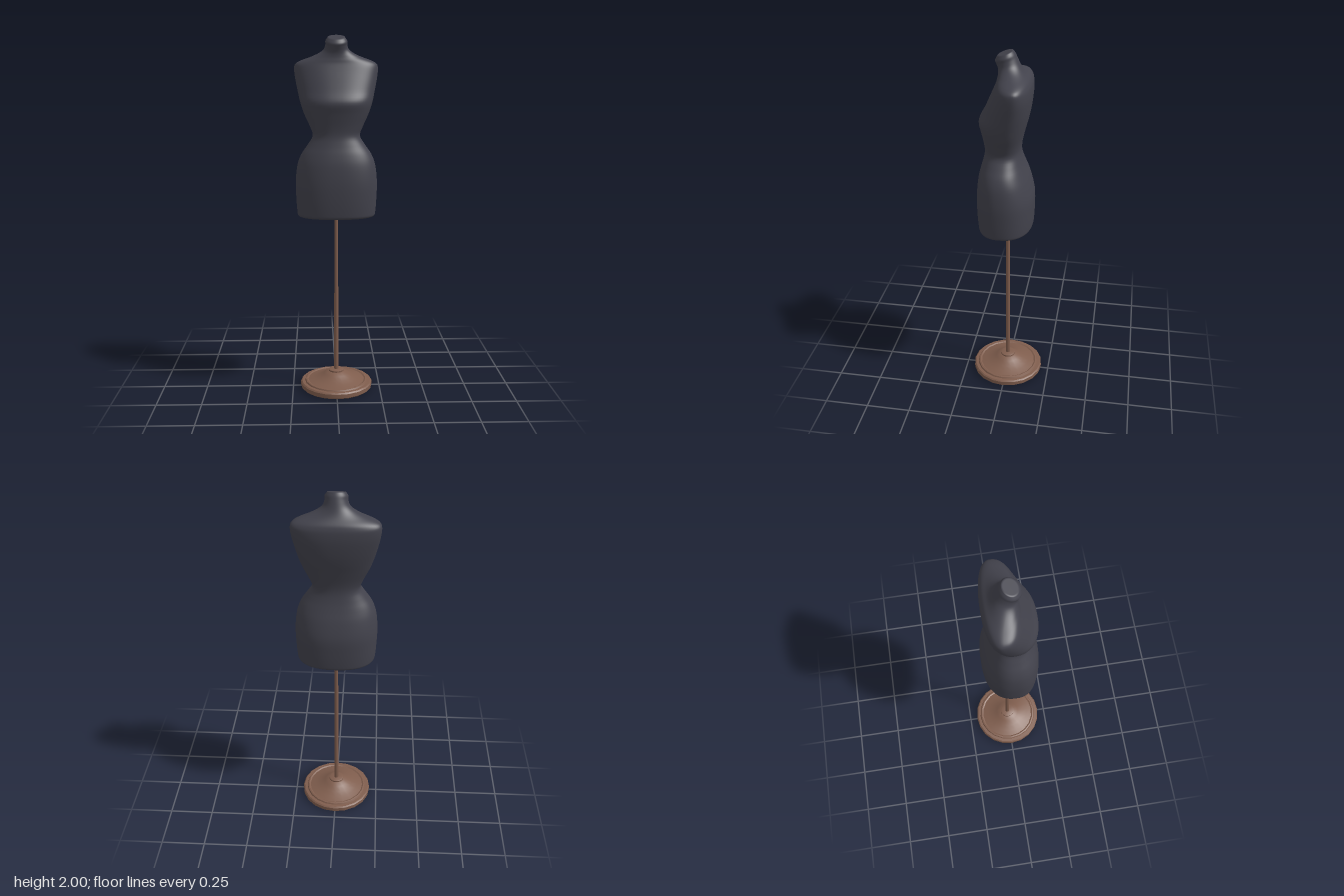
import * as THREE from 'three';
import { toCreasedNormals } from 'three/addons/utils/BufferGeometryUtils.js';

const fabric = new THREE.MeshStandardMaterial({ name: 'charcoal fabric', color: 0x42424c });
const wood = new THREE.MeshStandardMaterial({ name: 'brown wood', color: 0x7f5d4d });
const felt = new THREE.MeshStandardMaterial({ name: 'grey underside', color: 0xa3a3a0 });

// Torso sections: height, half width, front z, back z, z of the widest point
const SECTIONS = [
  [1.012, 0.19, 0.135, -0.12, 0.02],
  [1.02, 0.211, 0.152, -0.138, 0.02],
  [1.045, 0.217, 0.157, -0.143, 0.02],
  [1.12, 0.222, 0.162, -0.146, 0.02],
  [1.21, 0.224, 0.163, -0.144, 0.02],
  [1.3, 0.214, 0.156, -0.122, 0.02],
  [1.36, 0.192, 0.144, -0.1, 0.02],
  [1.41, 0.158, 0.13, -0.083, 0.02],
  [1.46, 0.129, 0.12, -0.073, 0.02],
  [1.51, 0.144, 0.123, -0.076, 0.02],
  [1.58, 0.176, 0.136, -0.092, 0.01],
  [1.64, 0.196, 0.147, -0.108, 0],
  [1.7, 0.21, 0.118, -0.12, -0.02],
  [1.77, 0.224, 0.087, -0.128, -0.04],
  [1.82, 0.229, 0.065, -0.127, -0.048],
  [1.845, 0.222, 0.055, -0.121, -0.048],
  [1.862, 0.195, 0.051, -0.112, -0.045],
  [1.88, 0.145, 0.048, -0.094, -0.035],
  [1.9, 0.096, 0.048, -0.076, -0.018],
  [1.92, 0.068, 0.052, -0.062, -0.004],
  [1.945, 0.059, 0.06, -0.048, 0.007],
  [1.965, 0.059, 0.065, -0.038, 0.014],
  [1.985, 0.046, 0.053, -0.026, 0.014],
];

function torsoGeometry() {
  const around = 64, steps = 4;
  const stride = SECTIONS[0].length;
  const spline = new THREE.CubicInterpolant(
    SECTIONS.map((_, i) => i), SECTIONS.flat(), stride, new Float32Array(stride));
  const rings = [];
  for (let i = 0; i <= (SECTIONS.length - 1) * steps; i++) {
    rings.push([...spline.evaluate(i / steps)]);
  }
  // Close both ends with shrinking rings
  const shrink = ([y, w, front, back, mid], k) =>
    [y, w * k, mid + (front - mid) * k, mid + (back - mid) * k, mid];
  const first = rings[0], last = rings[rings.length - 1];
  rings.unshift(shrink(first, 0.001), shrink(first, 0.9));
  rings.push(shrink(last, 0.85), shrink(last, 0.001));

  const positions = [], indices = [];
  const power = (v, e) => Math.sign(v) * Math.abs(v) ** e;
  rings.forEach(([y, w, front, back, mid], r) => {
    // Squarish body sections turn round at the neck, which tilts forward
    const exponent = 2 / (2.35 - 0.35 * THREE.MathUtils.smoothstep(y, 1.82, 1.9));
    const tilt = 0.34 * THREE.MathUtils.smoothstep(y, 1.88, 1.97);
    for (let j = 0; j < around; j++) {
      const a = (j / around) * Math.PI * 2;
      const s = power(Math.sin(a), exponent);
      const z = mid + (s > 0 ? s * (front - mid) : -s * (back - mid));
      positions.push(w * power(Math.cos(a), exponent), y - tilt * (z - 0.014), z);
      if (r === rings.length - 1) continue;
      const p = r * around + j, q = r * around + ((j + 1) % around);
      indices.push(p, p + around, q, q, p + around, q + around);
    }
  });
  const geometry = new THREE.BufferGeometry();
  geometry.setAttribute('position', new THREE.Float32BufferAttribute(positions, 3));
  geometry.setIndex(indices);
  geometry.computeVertexNormals();
  return geometry;
}

export function createModel() {
  const model = new THREE.Group();
  model.name = 'dressForm';
  const add = (name, geometry, material) => {
    const mesh = new THREE.Mesh(geometry, material);
    mesh.name = name;
    model.add(mesh);
    return mesh;
  };

  add('torso', torsoGeometry(), fabric);

  // Slim pole
  add('pole', new THREE.CylinderGeometry(0.01, 0.013, 0.94, 12), wood).position.y = 0.56;

  // Turned base with a rim, a groove, a flared dome and a collar
  const profile = [
    [0.2, 0], [0.206, 0.006], [0.206, 0.028], [0.199, 0.035], [0.182, 0.036],
    [0.178, 0.043], [0.17, 0.045], [0.162, 0.041], [0.13, 0.05], [0.098, 0.062],
    [0.07, 0.077], [0.05, 0.09], [0.043, 0.092], [0.043, 0.1], [0.036, 0.103], [0, 0.103],
  ].map(([r, y]) => new THREE.Vector2(r, y));
  add('base', toCreasedNormals(new THREE.LatheGeometry(profile, 20), 0.7), wood);

  // Underside of the base
  add('baseUnderside', new THREE.CircleGeometry(0.2, 20, Math.PI / 2).rotateX(Math.PI / 2), felt);

  return model;
}
